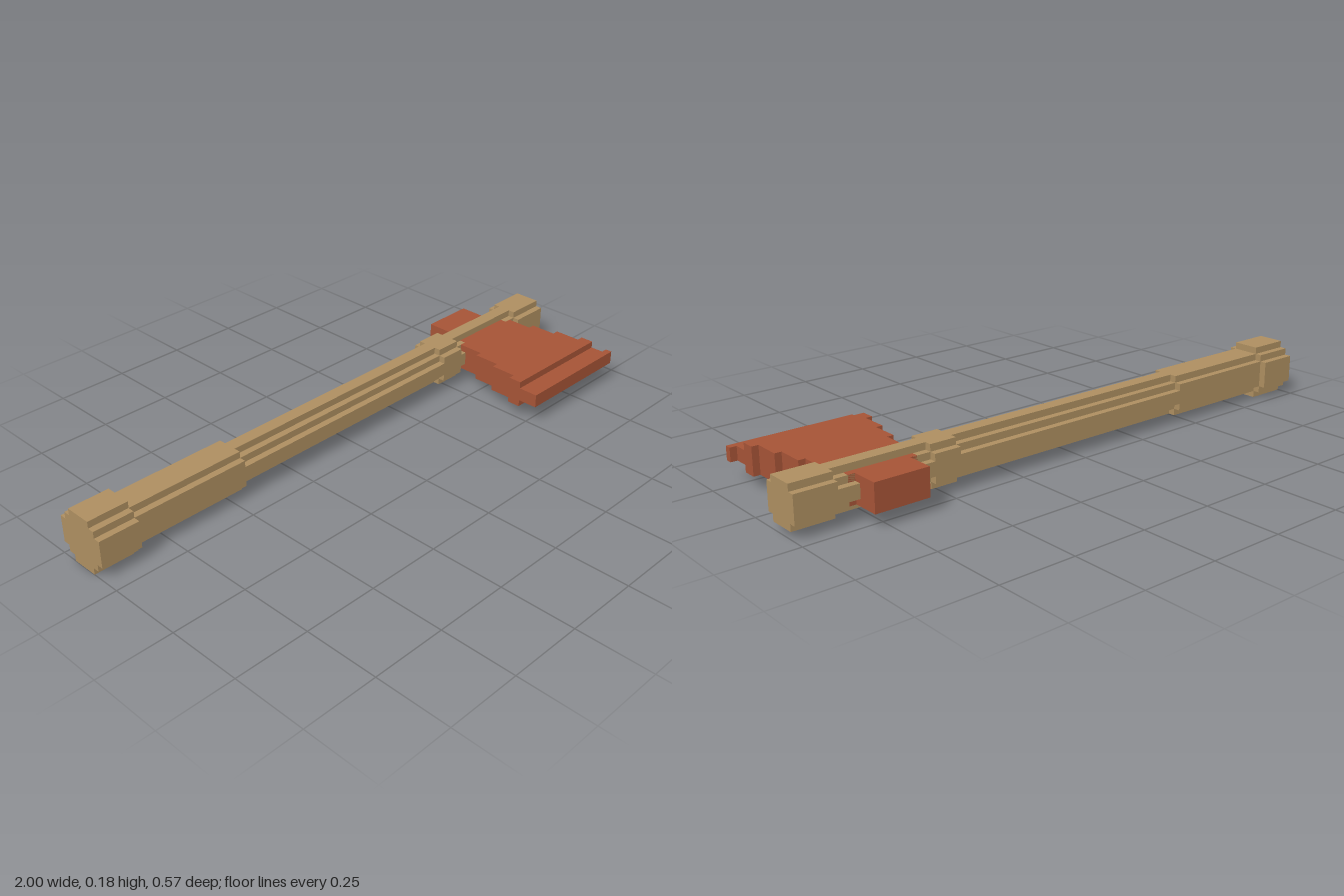
import * as THREE from 'three';

const U = 2 / 88; // one modelling step; the axe is 88 steps long

// Stepped cross-section with four-fold symmetry, from the outer corners of one quadrant
function steppedSection(corners) {
  const quadrant = [];
  corners.forEach(([x, y], i) => {
    quadrant.push([x, y]);
    if (i < corners.length - 1) quadrant.push([corners[i + 1][0], y]);
  });
  const points = [];
  for (let q = 0; q < 4; q++) {
    for (const p of quadrant) {
      let [x, y] = p;
      for (let r = 0; r < q; r++) [x, y] = [-y, x];
      points.push(new THREE.Vector2(x * U, y * U));
    }
  }
  return new THREE.Shape(points);
}

// Slab with stepped sides; rows are [left, right, near, far], counted in steps from the left end and cutting edge
function steppedSlab(rows, thickness) {
  const point = (x, k) => new THREE.Vector2((x - 44) * U, (k - 12.5) * U);
  const right = rows.flatMap(([, r, a, b]) => [point(r, a), point(r, b)]);
  const left = rows.flatMap(([l, , a, b]) => [point(l, a), point(l, b)]).reverse();
  const points = [...right, ...left].filter((p, i, all) => !p.equals(all[(i + 1) % all.length]));
  const geometry = new THREE.ExtrudeGeometry(new THREE.Shape(points), { depth: thickness, bevelEnabled: false });
  return geometry.translate(0, 0, -thickness / 2).rotateX(-Math.PI / 2);
}

export function createModel() {
  const wood = new THREE.MeshStandardMaterial({ color: 0xad8e60 });
  wood.name = 'tan wood';
  const metal = new THREE.MeshStandardMaterial({ color: 0xa55336 });
  metal.name = 'rust red';

  const model = new THREE.Group();
  model.name = 'axe';

  // Handle: alternating full and slimmer sections along x
  const handle = new THREE.Group();
  handle.name = 'handle';
  handle.position.set(0, 4 * U, -6.5 * U);
  const full = [[3, 2], [2, 3]];
  const slim = [[3, 1], [2, 2], [1, 3]];
  const knob = [[4, 2], [3, 3], [2, 4]];
  const sections = [
    ['pommel', knob, 0, 6],
    ['lowerHandle', full, 6, 24],
    ['grip', slim, 24, 64],
    ['collar', full, 64, 68],
    ['headSocket', slim, 68, 82],
    ['handleTip', full, 82, 88],
  ];
  for (const [name, corners, from, to] of sections) {
    const geometry = new THREE.ExtrudeGeometry(steppedSection(corners), { depth: (to - from) * U, bevelEnabled: false });
    geometry.rotateY(Math.PI / 2).translate((from - 44) * U, 0, 0);
    const mesh = new THREE.Mesh(geometry, wood);
    mesh.name = name;
    handle.add(mesh);
  }
  model.add(handle);

  // Head: thick flaring body with the poll behind the handle, then a thin cutting edge
  const head = new THREE.Group();
  head.name = 'axeHead';
  head.position.y = 4 * U;
  const body = new THREE.Mesh(steppedSlab([
    [66, 84, 3, 5],
    [67, 83, 5, 9],
    [68, 82, 9, 13],
    [69, 81, 13, 17],
    [70, 80, 17, 21],
    [71, 79, 21, 25],
  ], 4 * U + 0.001), metal);
  body.name = 'headBody';
  const edge = new THREE.Mesh(steppedSlab([[66, 85, 0, 1], [66, 84, 1, 3]], 2 * U), metal);
  edge.name = 'cuttingEdge';
  head.add(body, edge);
  model.add(head);

  return model;
}
